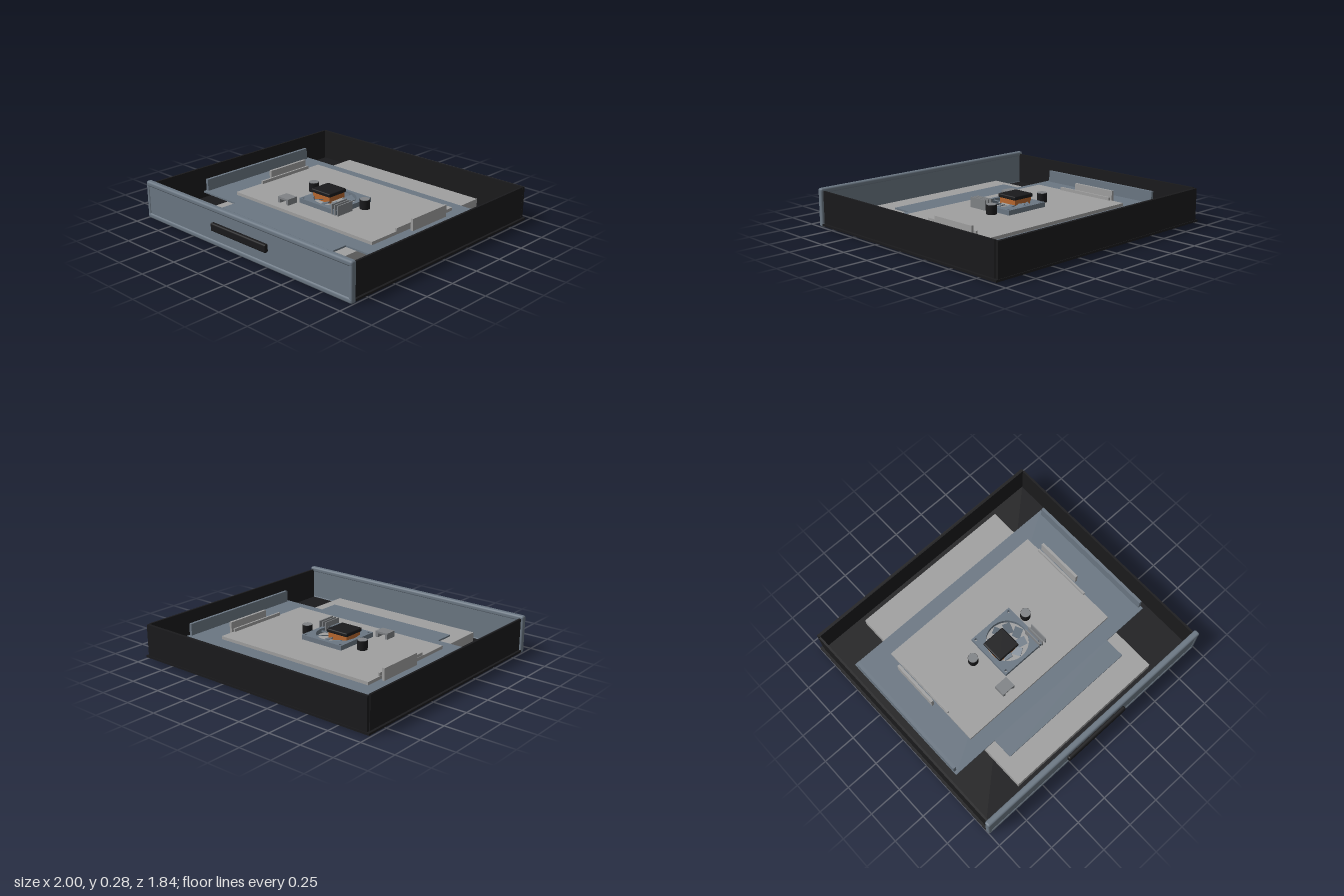
import * as THREE from 'three';
import { RoundedBoxGeometry } from 'three/addons/geometries/RoundedBoxGeometry.js';

const mat = (color) => new THREE.MeshStandardMaterial({ color });

export function createModel() {
  const root = new THREE.Group();
  const black = mat(0x1a1a1c), steel = mat(0x6b7783), grey = mat(0xa0a0a0);
  const darkGrey = mat(0x808386), copper = mat(0xb8682f);

  const add = (name, geometry, material, parent = root) => {
    const mesh = new THREE.Mesh(geometry, material);
    mesh.name = name;
    parent.add(mesh);
    return mesh;
  };
  // Box given by its minimum and maximum on each axis
  const box = (name, material, x0, x1, y0, y1, z0, z1, round = 0) => {
    const s = [x1 - x0, y1 - y0, z1 - z0];
    const g = round ? new RoundedBoxGeometry(...s, 3, round) : new THREE.BoxGeometry(...s);
    g.translate((x0 + x1) / 2, (y0 + y1) / 2, (z0 + z1) / 2);
    return add(name, g, material);
  };

  // Open case
  box('caseFloor', black, -1, 1, 0.015, 0.03, -0.92, 0.86);
  box('backWall', black, -0.98, 0.98, 0.03, 0.262, -0.915, -0.893);
  for (const s of [-1, 1]) {
    const wall = box('sideWall', black, -0.0075, 0.0075, 0.03, 0.265, -0.888, 0.86);
    wall.position.x = s * 0.975;
  }

  // Front panel with rounded rim, and its handle
  box('frontPanel', steel, -0.99, 0.99, 0.015, 0.275, 0.858, 0.892);
  for (const y of [0.023, 0.265]) box('panelRail', steel, -1, 1, y - 0.02, y + 0.02, 0.855, 0.9, 0.015);
  for (const x of [-0.985, 0.985]) box('panelPost', steel, x - 0.015, x + 0.015, 0.01, 0.28, 0.857, 0.898, 0.012);
  box('handle', black, -0.273, 0.268, 0.115, 0.175, 0.888, 0.92, 0.012);

  // Lower slab, tray with side flanges, main board
  box('lowerSlab', grey, -0.635, 0.635, 0.03, 0.1, -0.835, 0.795);
  box('tray', steel, -0.905, 0.905, 0.1, 0.112, -0.62, 0.46);
  box('trayTongue', steel, -0.548, 0.54, 0.1, 0.112, 0.46, 0.615);
  box('mainBoard', grey, -0.667, 0.662, 0.112, 0.135, -0.503, 0.343);
  for (const s of [-1, 1]) {
    const flange = box('trayFlange', steel, -0.011, 0.011, 0.112, 0.2, -0.59, 0.435);
    flange.position.x = s * 0.892;
    const tall = box('tallConnector', grey, -0.01, 0.01, 0.112, 0.2, -0.38, -0.02);
    tall.position.x = s * 0.694;
    const low = box('lowConnector', grey, -0.007, 0.007, 0.13, 0.158, -0.38, 0.1);
    low.position.x = s * 0.657;
  }

  // Fan: square frame with a round opening and screw holes
  const fan = new THREE.Group();
  fan.name = 'fan';
  fan.position.set(-0.002, 0.135, -0.005);
  root.add(fan);
  const h = 0.18;
  const frame = new THREE.Shape([[-h, -h], [h, -h], [h, h], [-h, h]].map(([x, y]) => new THREE.Vector2(x, y)));
  const hole = (x, y, r) => frame.holes.push(new THREE.Path().absarc(x, y, r, 0, Math.PI * 2, true));
  hole(0, 0, 0.153);
  for (const x of [-0.158, 0.158]) for (const y of [-0.158, 0.158]) hole(x, y, 0.01);
  const frameGeo = new THREE.ExtrudeGeometry(frame, { depth: 0.035, bevelEnabled: false, curveSegments: 32 });
  add('fanFrame', frameGeo.rotateX(-Math.PI / 2), steel, fan);
  add('fanHub', new THREE.CylinderGeometry(0.06, 0.06, 0.025, 24).translate(0, 0.0125, 0), grey, fan);
  for (let i = 0; i < 8; i++) {
    const pivot = new THREE.Group();
    pivot.rotation.y = (i * Math.PI) / 4;
    const blade = add('fanBlade', new THREE.BoxGeometry(0.075, 0.008, 0.06), steel, pivot);
    blade.position.set(0.098, 0.022, 0);
    blade.rotation.set(0.35, 0.5, 0);
    fan.add(pivot);
  }

  // Coil block over the fan
  box('coil', copper, -0.145, 0.017, 0.15, 0.197, -0.082, 0.073);
  box('coilCap', black, -0.155, 0.027, 0.197, 0.225, -0.09, 0.083, 0.008);

  // Capacitors
  for (const x of [-0.275, 0.229]) {
    add('capacitor', new THREE.CylinderGeometry(0.037, 0.037, 0.07, 24), black).position.set(x, 0.168, -0.065);
    add('capacitorTop', new THREE.CylinderGeometry(0.035, 0.035, 0.004, 24), darkGrey).position.set(x, 0.204, -0.065);
  }

  // Small bridge on two legs
  box('bridgeTop', darkGrey, -0.297, -0.193, 0.165, 0.18, 0.19, 0.275);
  for (const x of [-0.297, -0.213]) box('bridgeLeg', darkGrey, x, x + 0.02, 0.135, 0.165, 0.19, 0.275);

  // Upright plates beside the fan
  for (const x of [0.14, 0.168, 0.197]) box('uprightPlate', darkGrey, x - 0.004, x + 0.004, 0.135, 0.21, 0.03, 0.18);

  return root;
}
